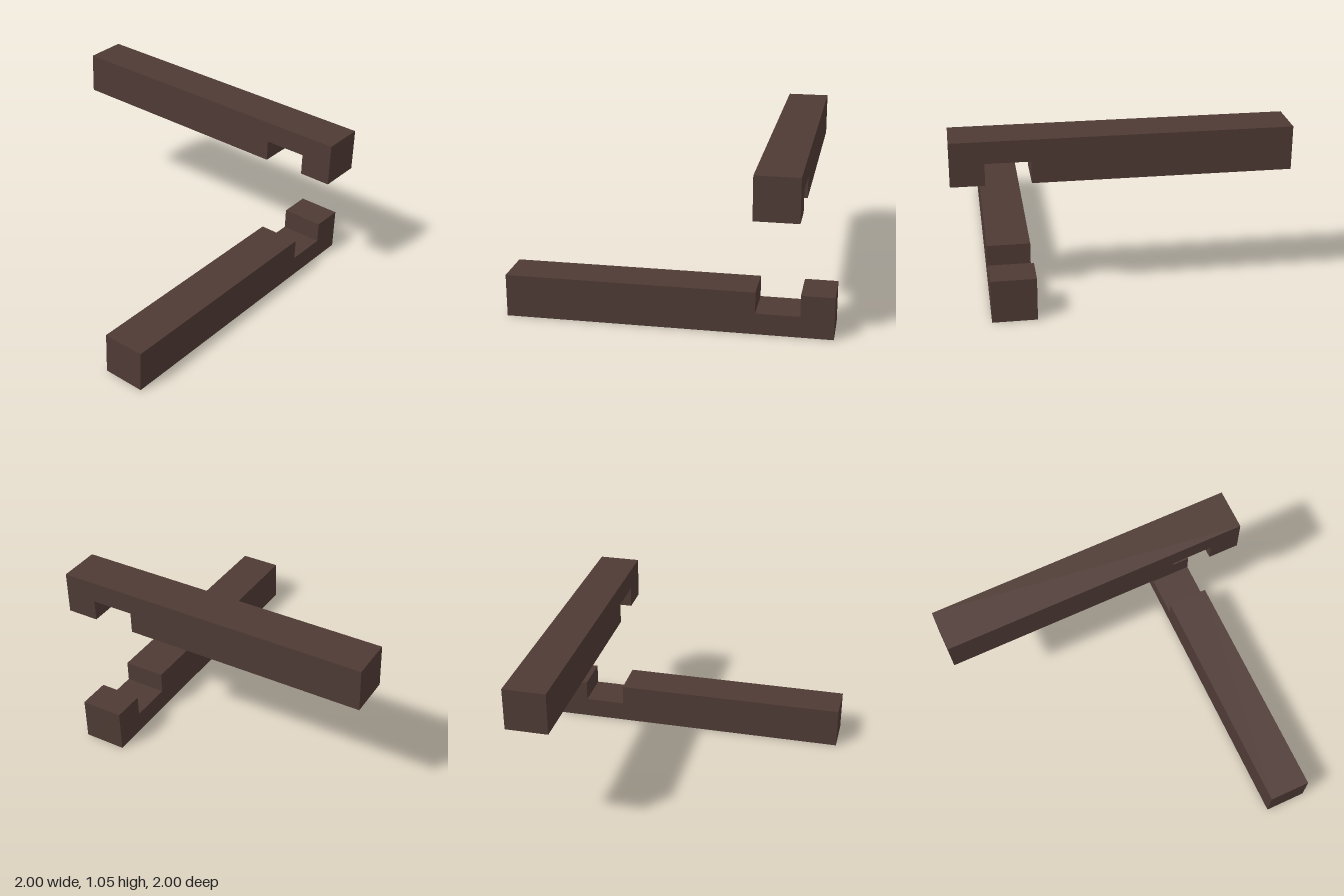
import * as THREE from 'three';

const SIZE = 0.267;              // square section of each beam
const HALF = SIZE / 2;
const NOTCH = [0.532, 0.799];    // notch extent along the beam
const CENTRE = (NOTCH[0] + NOTCH[1]) / 2;

// Beam along x, centred on its own axis, with a half-depth notch in the top
function notchedBeamGeometry() {
  const [a, b] = NOTCH;
  const profile = new THREE.Shape([
    [-1, -HALF], [1, -HALF], [1, HALF], [b, HALF],
    [b, 0], [a, 0], [a, HALF], [-1, HALF],
  ].map(([x, y]) => new THREE.Vector2(x, y)));
  const geometry = new THREE.ExtrudeGeometry(profile, { depth: SIZE, bevelEnabled: false });
  return geometry.translate(0, 0, -HALF);
}

export function createModel() {
  const group = new THREE.Group();
  group.name = 'halfLapJoint';
  const darkWood = new THREE.MeshStandardMaterial({ color: 0x4e3a34 });
  darkWood.name = 'darkWood';
  const geometry = notchedBeamGeometry();

  // Lower beam runs along x, notch facing up
  const lowerBeam = new THREE.Mesh(geometry, darkWood);
  lowerBeam.name = 'lowerBeam';
  lowerBeam.position.set(0, HALF, CENTRE);

  // Upper beam is the same piece turned over to run along z, notch facing down
  const upperBeam = new THREE.Mesh(geometry, darkWood);
  upperBeam.name = 'upperBeam';
  upperBeam.quaternion.setFromAxisAngle(new THREE.Vector3(1, 0, 1).normalize(), Math.PI);
  upperBeam.position.set(CENTRE, 0.78 + HALF, 0);

  group.add(lowerBeam, upperBeam);
  return group;
}
